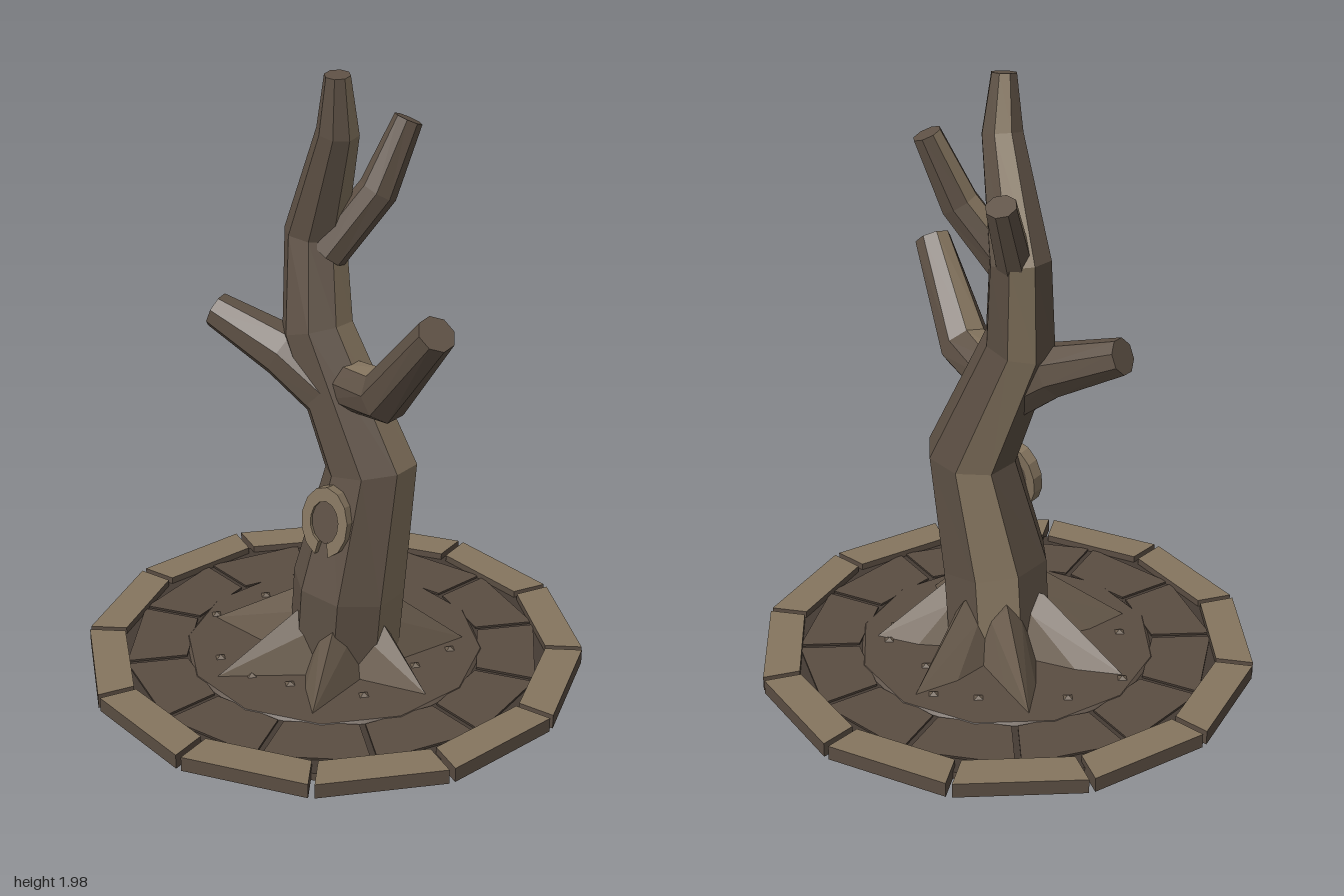
import * as THREE from 'three';
import { ConvexGeometry } from 'three/addons/geometries/ConvexGeometry.js';

const mat = (name, color) => {
  const m = new THREE.MeshStandardMaterial({ color });
  m.name = name;
  return m;
};

export function createModel() {
  const model = new THREE.Group();
  const darkBark = mat('darkBark', 0x5e5145);
  const lightBark = mat('lightBark', 0x85755f);
  const rootBark = mat('rootBark', 0x6a5c4d);
  const soil = mat('soil', 0x5a4d42);
  const stone = mat('stone', 0x85755f);
  const groove = mat('groove', 0x453b33);

  const add = (name, geometry, material, parent = model) => {
    const mesh = new THREE.Mesh(geometry, material);
    mesh.name = name;
    parent.add(mesh);
    return mesh;
  };

  // Eight-sided limb through [x, y, z, radius] stations; some facet columns are lighter
  const limb = (name, stations, lightColumns = []) => {
    const N = 8;
    const centres = stations.map(s => new THREE.Vector3(s[0], s[1], s[2]));
    const last = centres.length - 1;
    const rings = centres.map((c, k) => {
      const before = c.clone().sub(centres[Math.max(k - 1, 0)]).normalize();
      const after = centres[Math.min(k + 1, last)].clone().sub(c).normalize();
      const t = before.add(after).normalize();
      const v = new THREE.Vector3(0, 0, 1);
      v.addScaledVector(t, -v.dot(t)).normalize();
      const u = t.clone().cross(v);
      return Array.from({ length: N }, (_, i) => {
        const a = (i - 0.5) * 2 * Math.PI / N;
        return c.clone().addScaledVector(u, Math.cos(a) * stations[k][3])
          .addScaledVector(v, Math.sin(a) * stations[k][3]);
      });
    });
    const dark = [], light = [];
    for (let i = 0; i < N; i++) {
      const j = (i + 1) % N;
      const list = lightColumns.includes(i) ? light : dark;
      for (let k = 0; k < last; k++) {
        const a = rings[k][i], b = rings[k][j], c = rings[k + 1][i], d = rings[k + 1][j];
        list.push(a, c, d, a, d, b);
      }
      dark.push(centres[0], rings[0][i], rings[0][j]);
      dark.push(centres[last], rings[last][j], rings[last][i]);
    }
    const g = new THREE.BufferGeometry().setFromPoints([...dark, ...light]);
    g.addGroup(0, dark.length, 0);
    if (light.length) g.addGroup(dark.length, light.length, 1);
    g.computeVertexNormals();
    return add(name, g, [darkBark, lightBark]);
  };

  // Trunk and broken branches
  limb('trunk', [
    [0.05, 0.03, 0.02, 0.18], [0.08, 0.34, 0.03, 0.182], [0.125, 0.74, -0.025, 0.148],
    [-0.07, 1.17, -0.012, 0.115], [-0.11, 1.46, -0.06, 0.098],
    [0.015, 1.81, 0, 0.066], [0.028, 1.985, 0.022, 0.04],
  ], [0, 5]);
  limb('leftBranch', [
    [0.04, 1.01, 0, 0.08], [0.235, 1.04, 0.07, 0.085], [0.47, 1.325, 0.165, 0.06],
  ], [4]);
  limb('rightBranch', [
    [0.06, 0.93, 0, 0.1], [-0.16, 1.085, 0.04, 0.088], [-0.395, 1.185, 0.08, 0.058],
  ]);
  limb('upperBranch', [
    [-0.05, 1.41, -0.04, 0.065], [0.08, 1.61, -0.12, 0.062], [0.14, 1.825, -0.19, 0.045],
  ], [4]);
  limb('backStump', [
    [-0.11, 1.4, -0.07, 0.06], [-0.155, 1.67, -0.195, 0.048],
  ], [2, 3]);

  // Seven tapering roots around the trunk foot
  for (let k = 0; k < 7; k++) {
    const a = Math.PI / 2 + k * 2 * Math.PI / 7;
    const at = (cx, cz, along, across, y) => new THREE.Vector3(
      cx + Math.cos(a) * along - Math.sin(a) * across, y,
      cz - Math.sin(a) * along - Math.cos(a) * across);
    const pts = [at(0, 0, 0.43, 0, 0.064), at(0.05, 0.02, 0.17, 0, 0.26),
      at(0.05, 0.02, 0.08, 0, 0.26), at(0.05, 0.02, 0.08, 0, 0.05)];
    for (const s of [-1, 1]) {
      pts.push(at(0.05, 0.02, 0.14, s * 0.105, 0.05));
      pts.push(at(0.05, 0.02, 0.15, s * 0.05, 0.2));
      pts.push(at(0, 0, 0.3, s * 0.05, 0.05));
    }
    add('root', new ConvexGeometry(pts), rootBark);
  }

  // Knot: an oval collar open at the bottom, with a dark heart
  const knot = new THREE.Group();
  knot.name = 'knot';
  knot.position.set(0.08, 0.6, 0.13);
  knot.rotation.x = -0.15;
  model.add(knot);
  const collar = new THREE.Shape();
  const arc = (rx, ry, i) => {
    const a = -Math.PI / 2 + 0.3 + i / 12 * (2 * Math.PI - 0.6);
    return new THREE.Vector2(Math.cos(a) * rx, Math.sin(a) * ry);
  };
  const outline = [];
  for (let i = 0; i <= 12; i++) outline.push(arc(0.086, 0.116, i));
  for (let i = 12; i >= 0; i--) outline.push(arc(0.052, 0.07, i));
  collar.setFromPoints(outline);
  add('knotCollar', new THREE.ExtrudeGeometry(collar, { depth: 0.04, bevelEnabled: false }), lightBark, knot);
  const heart = add('knotHeart', new THREE.CylinderGeometry(1, 1, 0.03, 12).toNonIndexed(), darkBark, knot);
  heart.rotation.x = Math.PI / 2;
  heart.scale.set(0.054, 1, 0.072);
  heart.position.z = 0.015;

  // Ground disc with a raised centre
  add('groundDisc', new THREE.CylinderGeometry(0.73, 0.73, 0.025, 12), [soil, groove, soil]).position.y = 0.0425;
  add('groundCentre', new THREE.CylinderGeometry(0.485, 0.5, 0.014, 12), soil).position.y = 0.057;

  // Straight-sided slab covering one twelfth of a ring
  const slab = (name, angle, rIn, rOut, gap, y0, y1, materials) => {
    const c = Math.cos(Math.PI / 12), s = Math.sin(Math.PI / 12);
    const shape = new THREE.Shape([
      new THREE.Vector2(rIn * c, -rIn * s + gap), new THREE.Vector2(rOut * c, -rOut * s + gap),
      new THREE.Vector2(rOut * c, rOut * s - gap), new THREE.Vector2(rIn * c, rIn * s - gap),
    ]);
    const g = new THREE.ExtrudeGeometry(shape, { depth: y1 - y0, bevelEnabled: false });
    g.rotateX(-Math.PI / 2).rotateY(angle).translate(0, y0, 0);
    add(name, g, materials);
  };
  for (let k = 0; k < 12; k++) {
    const a = k * Math.PI / 6;
    slab('rimStone', a + Math.PI / 12, 0.7, 0.82, 0.01, 0.03, 0.078, [stone, soil]);
    slab('groundSlab', a, 0.49, 0.685, 0.01, 0.05, 0.062, [soil, groove]);
  }

  // Pebbles scattered round the roots
  const pebbles = [[-0.04, -0.39], [-0.16, -0.31], [0.09, -0.29], [0.29, -0.26], [0.34, -0.18],
    [-0.37, -0.12], [0.3, -0.03], [-0.43, 0.08], [0.26, 0.21], [0.03, 0.29], [-0.25, 0.29], [-0.1, 0.32]];
  for (const [x, z] of pebbles) {
    const p = add('pebble', new THREE.OctahedronGeometry(0.02), rootBark);
    p.position.set(x, 0.064, z);
    p.scale.y = 0.5;
  }
  return model;
}
